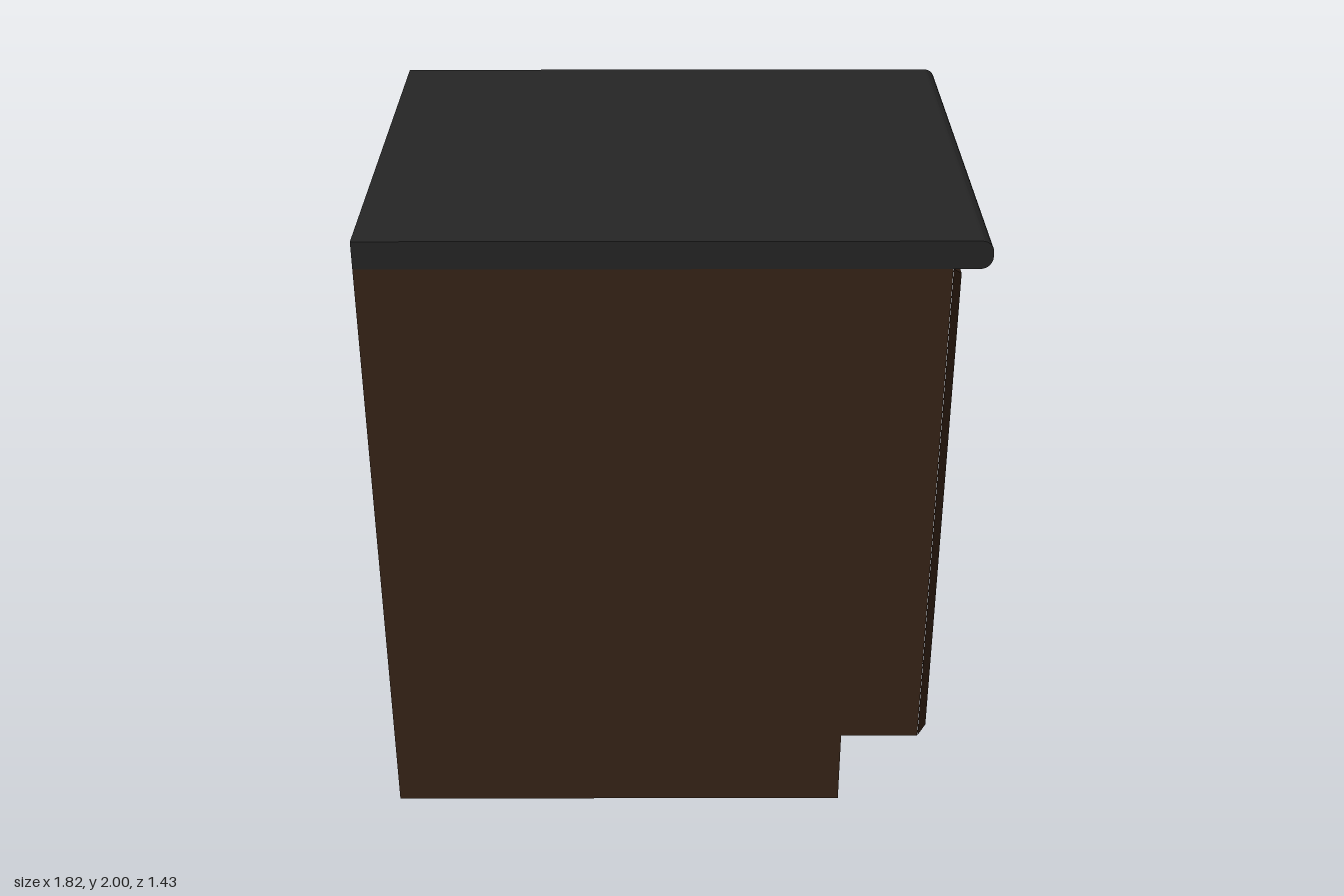
import * as THREE from 'three';
import { toCreasedNormals } from 'three/addons/utils/BufferGeometryUtils.js';

const DEPTH = 1.43;

function createMaterial(color) {
  return new THREE.MeshStandardMaterial({ color });
}

// Extrudes an x-y profile across the full width, centred on z = 0
function extrudeProfile(shape) {
  const geometry = new THREE.ExtrudeGeometry(shape, { depth: DEPTH, bevelEnabled: false, curveSegments: 8 });
  geometry.translate(0, 0, -DEPTH / 2);
  return toCreasedNormals(geometry, 0.6);
}

// Joins nested rectangles [halfWidth, bottom, top, x] facing +x, then caps the last one
function nestedPanel(rings) {
  const corners = rings.map(([w, y0, y1, x]) => [[x, y0, w], [x, y0, -w], [x, y1, -w], [x, y1, w]]);
  const positions = [];
  const quad = (a, b, c, d) => positions.push(...a, ...b, ...c, ...a, ...c, ...d);
  for (let i = 0; i < corners.length - 1; i++) {
    const outer = corners[i], inner = corners[i + 1];
    for (let k = 0; k < 4; k++) {
      const n = (k + 1) % 4;
      quad(outer[k], outer[n], inner[n], inner[k]);
    }
  }
  quad(...corners[corners.length - 1]);
  const geometry = new THREE.BufferGeometry();
  geometry.setAttribute('position', new THREE.Float32BufferAttribute(positions, 3));
  geometry.computeVertexNormals();
  return geometry;
}

export function createModel() {
  const model = new THREE.Group();
  model.name = 'baseCabinet';
  const wood = createMaterial(0x382417);
  const stone = createMaterial(0x262626);
  const brass = createMaterial(0xcccc8c);

  const add = (name, geometry, material) => {
    const mesh = new THREE.Mesh(geometry, material);
    mesh.name = name;
    model.add(mesh);
    return mesh;
  };

  // Carcass with the toe kick notch
  const carcass = new THREE.Shape();
  carcass.moveTo(-0.91, 0);
  carcass.lineTo(0.53, 0);
  carcass.lineTo(0.53, 0.26);
  carcass.lineTo(0.775, 0.26);
  carcass.lineTo(0.775, 1.915);
  carcass.lineTo(-0.91, 1.915);
  carcass.closePath();
  add('carcass', extrudeProfile(carcass), wood);

  // Door: bevelled edge, flat frame, recessed moulding, gently raised centre field
  add('door', nestedPanel([
    [0.715, 0.26, 1.915, 0.776],
    [0.69, 0.285, 1.89, 0.803],
    [0.55, 0.42, 1.755, 0.803],
    [0.53, 0.44, 1.735, 0.782],
    [0.4, 0.58, 1.6, 0.79],
  ]), wood);

  // Countertop with a rounded overhanging nose
  const top = new THREE.Shape();
  const r = 0.035;
  top.moveTo(-0.91, 1.915);
  top.lineTo(0.885 - r, 1.915);
  top.absarc(0.885 - r, 1.915 + r, r, -Math.PI / 2, 0, false);
  top.absarc(0.885 - r, 2 - r, r, 0, Math.PI / 2, false);
  top.lineTo(-0.91, 2);
  top.closePath();
  add('countertop', extrudeProfile(top), stone);

  // Knob: flared foot, narrow neck and ball, turned about the x axis
  const profile = [[0.036, 0], [0.035, 0.008], [0.024, 0.014], [0.017, 0.022]]
    .map(([x, y]) => new THREE.Vector2(x, y));
  for (let i = 0; i <= 14; i++) {
    const a = 0.5 + (Math.PI - 0.5) * i / 14;
    profile.push(new THREE.Vector2(i === 14 ? 0 : 0.043 * Math.sin(a), 0.06 - 0.043 * Math.cos(a)));
  }
  const knob = add('doorKnob', new THREE.LatheGeometry(profile, 24), brass);
  knob.rotation.z = -Math.PI / 2;
  knob.position.set(0.802, 1.685, -0.62);

  return model;
}
